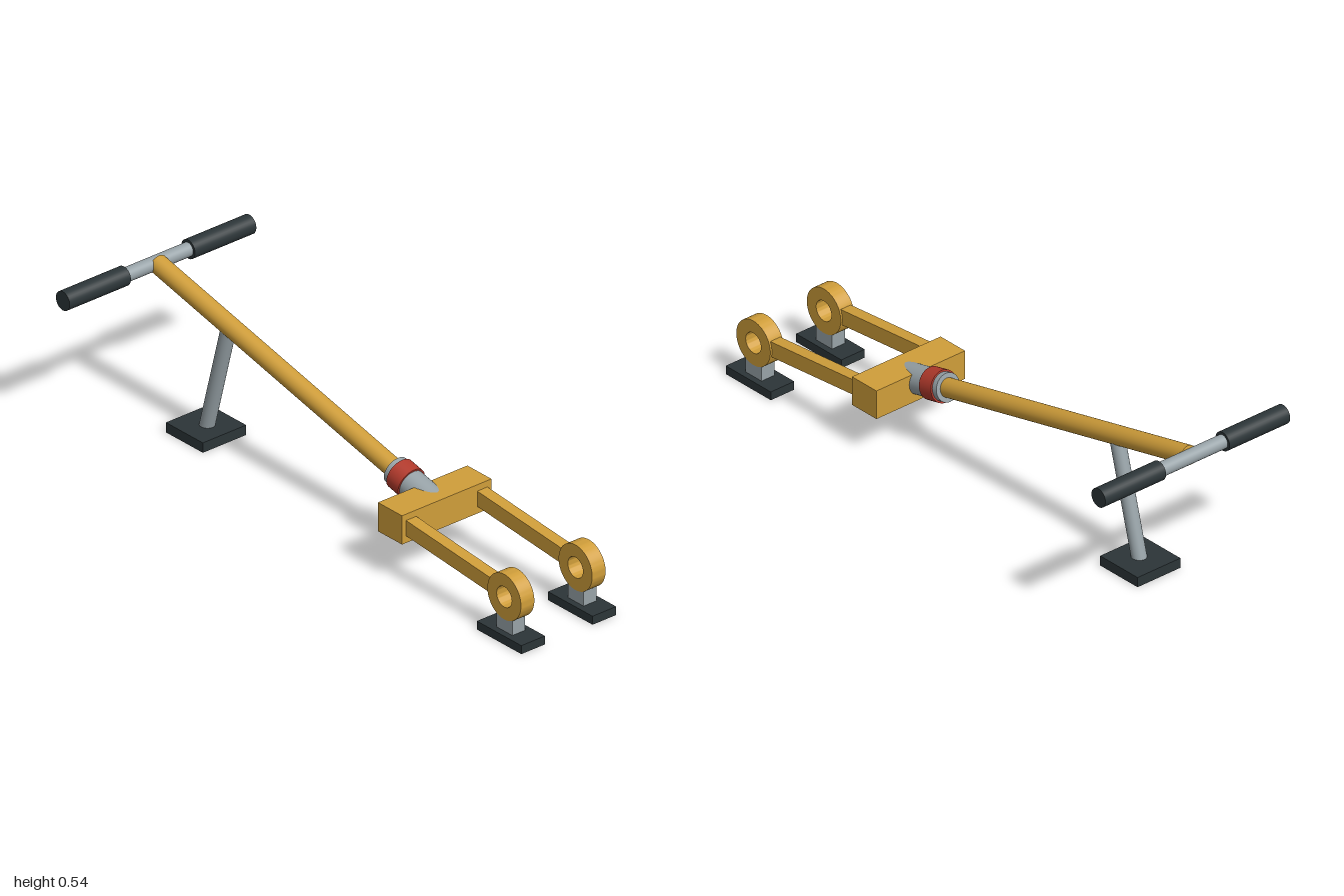
import * as THREE from 'three';
import { toCreasedNormals } from 'three/addons/utils/BufferGeometryUtils.js';

const material = (color) => new THREE.MeshStandardMaterial({ color });
const gold = material(0xd09e3a);
const steel = material(0x98a3a8);
const rubber = material(0x2c3538);
const red = material(0xb23a2c);

export function createModel() {
  const model = new THREE.Group();

  const add = (name, geometry, mat) => {
    const mesh = new THREE.Mesh(geometry, mat);
    mesh.name = name;
    model.add(mesh);
    return mesh;
  };
  const box = (name, mat, [w, h, d], [x, y, z]) => {
    const mesh = add(name, new THREE.BoxGeometry(w, h, d), mat);
    mesh.position.set(x, y, z);
    return mesh;
  };
  // Cylinder running between two points
  const rod = (name, mat, radius, a, b) => {
    const axis = b.clone().sub(a);
    const mesh = add(name, new THREE.CylinderGeometry(radius, radius, axis.length(), 32), mat);
    mesh.position.copy(a).add(b).multiplyScalar(0.5);
    mesh.quaternion.setFromUnitVectors(new THREE.Vector3(0, 1, 0), axis.normalize());
    return mesh;
  };
  const v = (x, y, z) => new THREE.Vector3(x, y, z);
  // Point on the sloping centre line of the main tube
  const onTube = (z) => v(0, 0.285 - 0.233 * z, z);

  // Main tube with its swivel collar
  rod('mainTube', gold, 0.032, onTube(0.25), onTube(-0.96));
  rod('collar', steel, 0.048, onTube(0.4), onTube(0.175));
  rod('collarBand', red, 0.054, onTube(0.25), onTube(0.194));

  // Handlebar and grips
  rod('handlebar', steel, 0.024, v(-0.36, 0.509, -0.967), v(0.36, 0.509, -0.967));
  for (const s of [-1, 1]) {
    rod(s > 0 ? 'leftGrip' : 'rightGrip', rubber, 0.033,
      v(s * 0.132, 0.509, -0.967), v(s * 0.384, 0.509, -0.967));
  }

  // Rear stand
  rod('standLeg', steel, 0.025, v(0, 0.415, -0.622), v(0, 0.025, -0.726));
  box('standFoot', rubber, [0.178, 0.035, 0.176], [0, 0.0175, -0.729]);

  // Yoke block
  box('yoke', gold, [0.368, 0.102, 0.115], [0, 0.196, 0.361]);

  // Eyelet ring, its axis along x
  const ringShape = new THREE.Shape().absarc(0, 0, 0.08, 0, Math.PI * 2);
  ringShape.holes.push(new THREE.Path().absarc(0, 0, 0.036, 0, Math.PI * 2, true));
  const ringGeometry = toCreasedNormals(
    new THREE.ExtrudeGeometry(ringShape, { depth: 0.055, bevelEnabled: false, curveSegments: 32 })
      .translate(0, 0, -0.0275).rotateY(Math.PI / 2), 0.6);

  // Fork arms, eyelets, posts and feet
  for (const s of [-1, 1]) {
    const side = s > 0 ? 'left' : 'right';
    const x = s * 0.1465;
    const arm = box(side + 'Arm', gold, [0.042, 0.054, 0.46], [x, 0.18, 0.605]);
    arm.rotation.x = Math.atan2(0.037, 0.4);
    add(side + 'Eyelet', ringGeometry, gold).position.set(x, 0.152, 0.894);
    box(side + 'Post', steel, [0.053, 0.07, 0.075], [x, 0.06, 0.894]);
    box(side + 'Foot', rubber, [0.097, 0.03, 0.212], [x, 0.015, 0.894]);
  }
  return model;
}
